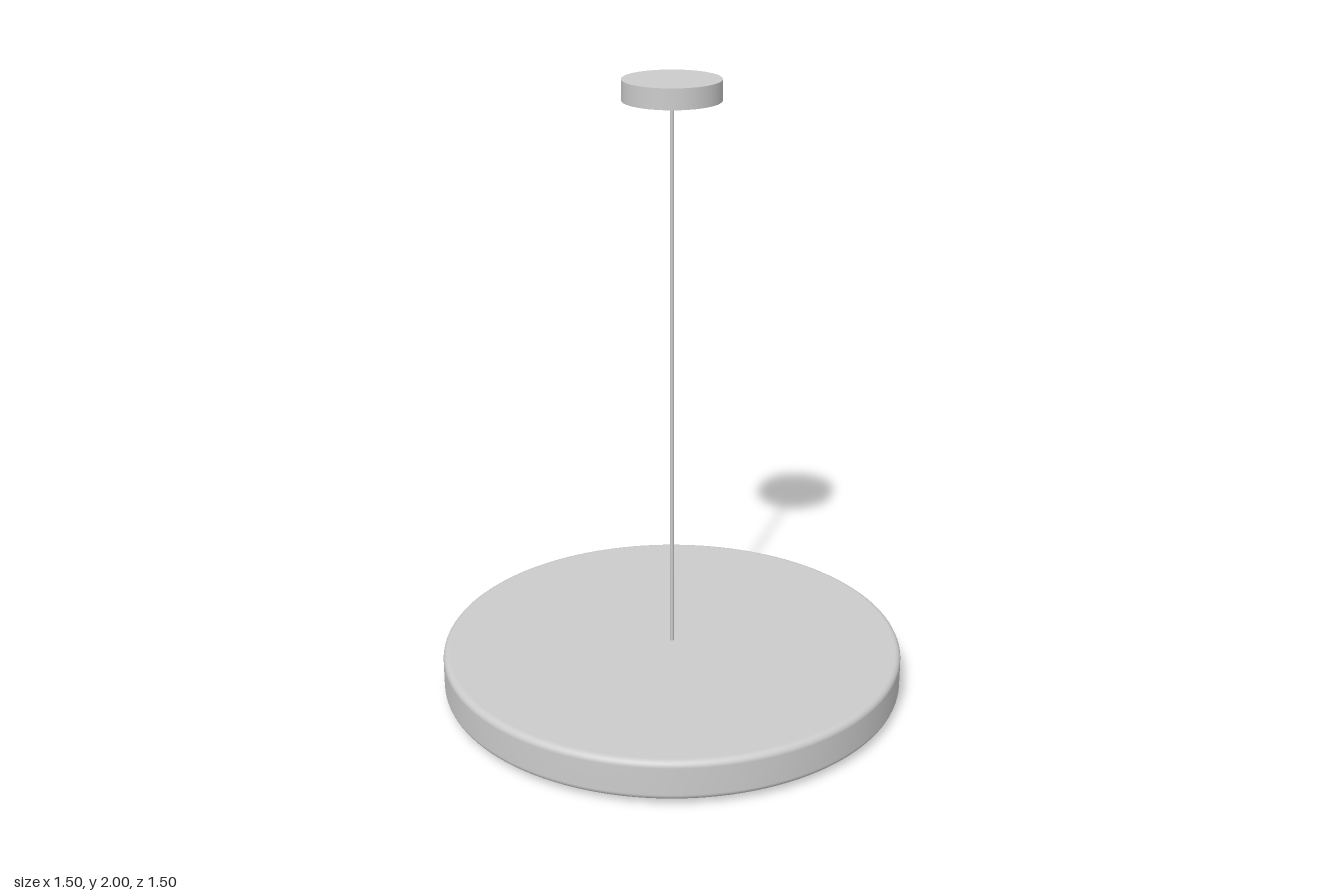
import * as THREE from 'three';

export function createModel() {
  const model = new THREE.Group();
  const grey = new THREE.MeshStandardMaterial({ color: 0xcccccc });
  const cream = new THREE.MeshStandardMaterial({ color: 0xfff4e0 });

  const add = (name, geometry, material, y = 0) => {
    const mesh = new THREE.Mesh(geometry, material);
    mesh.name = name;
    mesh.position.y = y;
    model.add(mesh);
  };

  // Upright cylinder spanning bottom to top
  const disc = (name, radius, bottom, top, material, sides = 96) =>
    add(name, new THREE.CylinderGeometry(radius, radius, top - bottom, sides), material, (bottom + top) / 2);

  // Flat round shade with softly rounded rims
  const R = 0.748, bottom = 0.018, top = 0.148, r = 0.02, steps = 6;
  const profile = [new THREE.Vector2(0, bottom), new THREE.Vector2(R - r - 0.004, bottom)];
  const corner = (cy, start) => {
    for (let i = 0; i <= steps; i++) {
      const a = start + (i / steps) * Math.PI / 2;
      profile.push(new THREE.Vector2(R - r + r * Math.cos(a), cy + r * Math.sin(a)));
    }
  };
  corner(bottom + r, -Math.PI / 2);
  corner(top - r, 0);
  profile.push(new THREE.Vector2(R - r - 0.004, top), new THREE.Vector2(0, top));
  add('shade', new THREE.LatheGeometry(profile, 128), grey);

  // Light diffuser set into the underside
  disc('diffuser', 0.615, 0, 0.03, cream, 128);

  // Suspension cord and ceiling canopy
  disc('cord', 0.006, 0.14, 1.95, grey, 16);
  disc('canopy', 0.15, 1.937, 2, grey, 64);

  return model;
}
